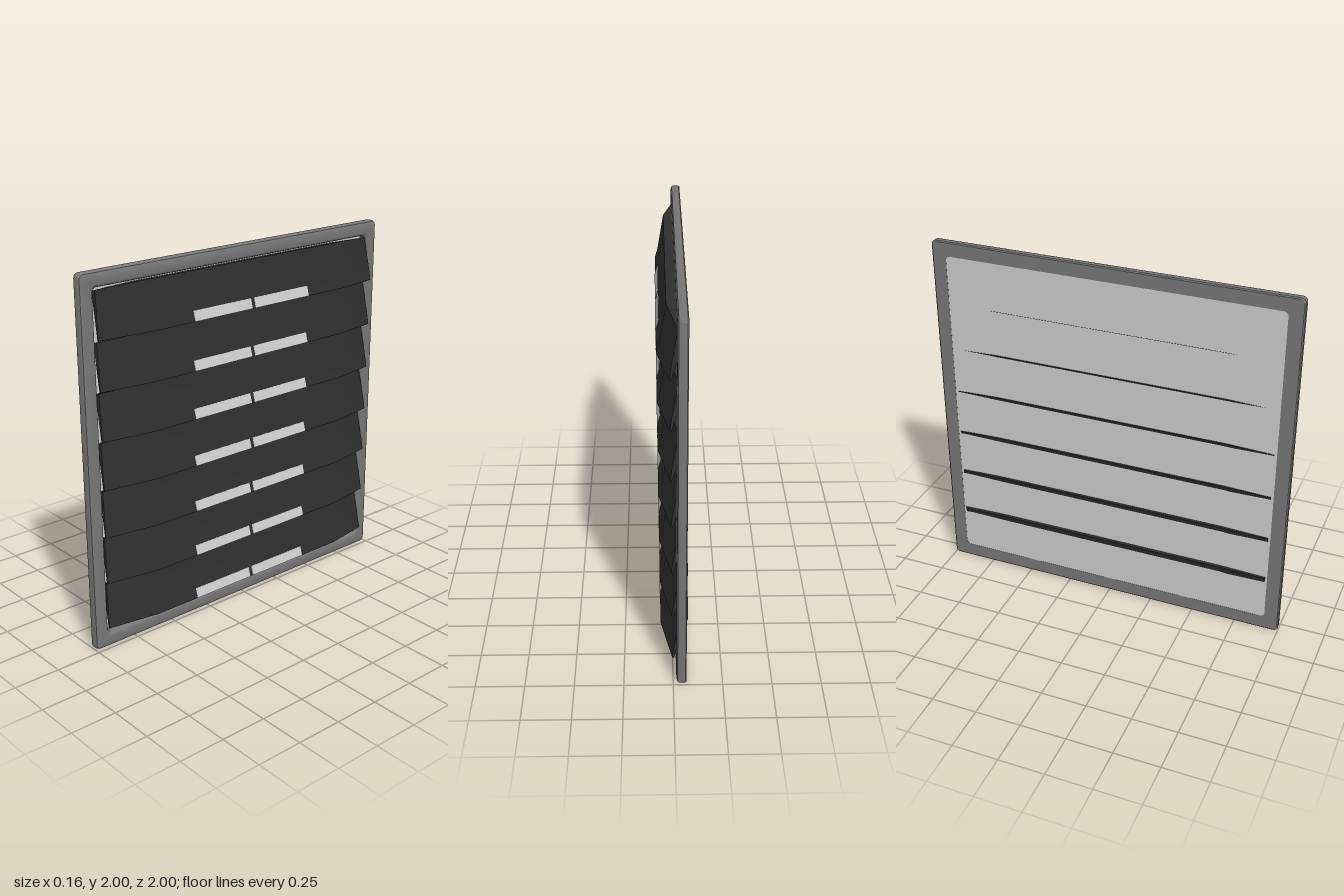
import * as THREE from 'three';
import { toCreasedNormals } from 'three/addons/utils/BufferGeometryUtils.js';

const frameMat = new THREE.MeshStandardMaterial({ color: 0x777777 });
const slatMat = new THREE.MeshStandardMaterial({ color: 0x2e2e2e });
const panelMat = new THREE.MeshStandardMaterial({ color: 0xcccccc });

// Skin a list of closed rings; the rings either join up or get end caps
function loft(rings, joined) {
  const n = rings[0].length, m = rings.length, pos = [], index = [];
  rings.forEach(ring => ring.forEach(p => pos.push(...p)));
  for (let i = 0; i < (joined ? m : m - 1); i++) {
    for (let j = 0; j < n; j++) {
      const a = i * n + j, b = i * n + (j + 1) % n;
      const d = ((i + 1) % m) * n + j, c = ((i + 1) % m) * n + (j + 1) % n;
      index.push(a, b, c, a, c, d);
    }
  }
  if (!joined) {
    const e = (m - 1) * n;
    for (let j = 1; j < n - 1; j++) index.push(0, j + 1, j, e, e + j, e + j + 1);
  }
  const geo = new THREE.BufferGeometry();
  geo.setAttribute('position', new THREE.Float32BufferAttribute(pos, 3));
  geo.setIndex(index);
  return toCreasedNormals(geo, 0.5);
}

// Rounded square in the yz plane
function squareRing(x, half, radius) {
  const ring = [], steps = 5;
  for (let k = 0; k < 4; k++) {
    for (let s = 0; s <= steps; s++) {
      const a = -(k + s / steps) * Math.PI / 2;
      const mid = -(k + 0.5) * Math.PI / 2;
      const cz = Math.sign(Math.cos(mid)) * (half - radius);
      const cy = Math.sign(Math.sin(mid)) * (half - radius);
      ring.push([x, 1 + cy + radius * Math.sin(a), cz + radius * Math.cos(a)]);
    }
  }
  return ring;
}

function part(name, geo, mat, parent) {
  const mesh = new THREE.Mesh(geo, mat);
  mesh.name = name;
  parent.add(mesh);
  return mesh;
}

export function createModel() {
  const model = new THREE.Group();
  model.name = 'louvredPanel';

  // Frame: softened front edges, square back
  const frameProfile = [
    [-0.067, 0.994], [-0.062, 1], [-0.034, 1], [-0.022, 0.995], [-0.016, 0.983],
    [-0.016, 0.935], [-0.02, 0.928], [-0.03, 0.922], [-0.067, 0.92],
  ];
  part('frame', loft(frameProfile.map(([x, h]) => squareRing(x, h, 0.025)), true), frameMat, model);

  // Thin backing sheet
  const back = part('backPanel', new THREE.BoxGeometry(0.006, 1.845, 1.845), panelMat, model);
  back.position.set(-0.063, 1, 0);

  // Slat sections, relative to the top slat: inner bottom, outer bottom, lip, outer top, inner top
  const middle = [[0.02, 1.668], [0.077, 1.682], [0.062, 1.735], [0.03, 1.93], [-0.064, 1.908]];
  const end = [[0.012, 1.67], [0.02, 1.675], [0.011, 1.735], [-0.02, 1.913], [-0.06, 1.9]];
  const endZ = [0.93, 0.93, 0.926, 0.912, 0.905];
  const slatGeo = loft([
    end.map(([x, y], i) => [x, y, -endZ[i]]),
    middle.map(([x, y]) => [x, y, -0.65]),
    middle.map(([x, y]) => [x, y, 0.65]),
    end.map(([x, y], i) => [x, y, endZ[i]]),
  ], false);

  // Pale inserts lie on the sloping lip
  const [lowX, lowY] = middle[1], [highX, highY] = middle[2];
  const insertGeo = new THREE.BoxGeometry(0.004, Math.hypot(highX - lowX, highY - lowY), 0.38);

  for (let i = 0; i < 7; i++) {
    const louvre = new THREE.Group();
    louvre.name = 'louvre' + (i + 1);
    louvre.position.set(-0.0026 * i, -0.2593 * i, 0);
    part('slat', slatGeo, slatMat, louvre);
    for (const side of [-1, 1]) {
      const insert = part('insert', insertGeo, panelMat, louvre);
      insert.position.set((lowX + highX) / 2, (lowY + highY) / 2, side * 0.2);
      insert.rotation.z = Math.atan2(lowX - highX, highY - lowY);
    }
    model.add(louvre);
  }
  return model;
}
